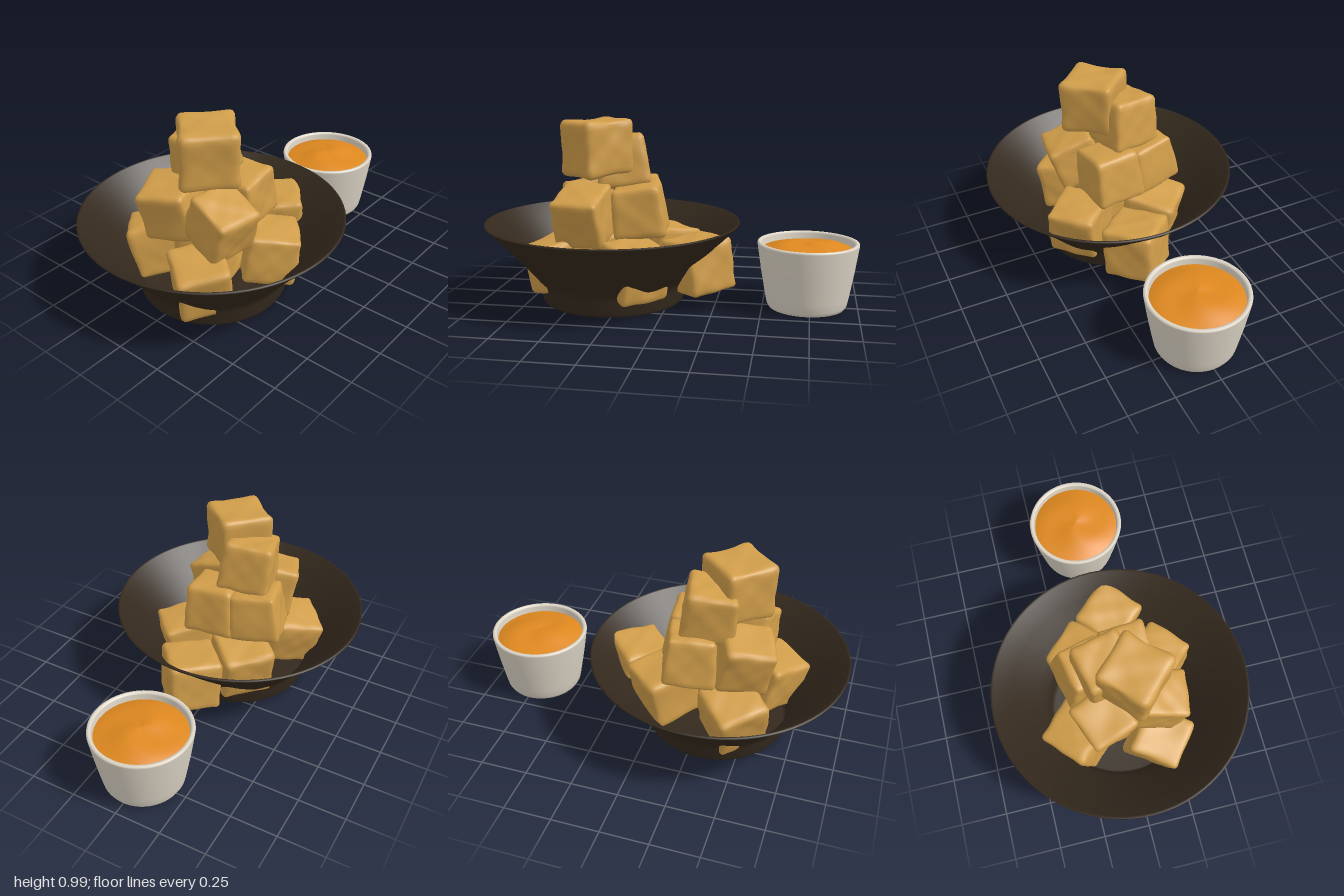
import * as THREE from 'three';
import { mergeVertices } from 'three/addons/utils/BufferGeometryUtils.js';

const mat = (name, color, side = THREE.FrontSide) => {
  const m = new THREE.MeshStandardMaterial({ color, side });
  m.name = name;
  return m;
};

// Soft, lumpy cube: rounded edges plus gentle wave displacement
function lumpyCube(size, seed, taper) {
  const n = 14, h = 0.5, r = 0.1;
  let g = new THREE.BoxGeometry(1, 1, 1, n, n, n);
  g.deleteAttribute('normal');
  g.deleteAttribute('uv');
  g = mergeVertices(g);
  const p = g.attributes.position;
  const v = new THREE.Vector3(), core = new THREE.Vector3(), d = new THREE.Vector3();
  for (let i = 0; i < p.count; i++) {
    v.fromBufferAttribute(p, i);
    core.copy(v).clampScalar(-h + r, h - r);
    d.copy(v).sub(core).normalize();
    const lump = 0.016 * Math.sin(6 * v.x + seed * 1.7) * Math.cos(6 * v.y + seed)
      + 0.012 * Math.sin(7 * v.z + seed * 2.3) * Math.cos(6 * v.x - seed)
      + 0.008 * Math.sin(13 * v.y + seed) * Math.sin(12 * v.x + seed) * Math.cos(13 * v.z);
    v.copy(core).addScaledVector(d, r + lump);
    // slight taper and shear, different on each cube
    const t = 1 - taper * v.y;
    v.set(v.x * t + 0.03 * v.y * Math.sin(seed), v.y, v.z * t + 0.03 * v.y * Math.cos(seed));
    p.setXYZ(i, v.x * size, v.y * size, v.z * size);
  }
  g.computeVertexNormals();
  return g;
}

const lathe = (points, material, name) => {
  const m = new THREE.Mesh(
    new THREE.LatheGeometry(points.map(([x, y]) => new THREE.Vector2(x, y)), 72), material);
  m.name = name;
  return m;
};

export function createModel() {
  const model = new THREE.Group();
  model.name = 'cubesWithDip';
  const bowlMat = mat('darkBowl', 0x34291d, THREE.DoubleSide);
  const cubeMat = mat('goldenCrust', 0xd09d4a);
  const cupMat = mat('paleCeramic', 0xddd5c6, THREE.DoubleSide);
  const sauceMat = mat('orangeSauce', 0xde881f, THREE.DoubleSide);

  // Flared bowl on a short straight foot
  const bowl = lathe([
    [0, 0], [0.36, 0], [0.377, 0.006], [0.386, 0.022], [0.395, 0.09], [0.402, 0.118],
    [0.425, 0.148], [0.467, 0.198], [0.524, 0.262], [0.595, 0.34], [0.685, 0.428],
    [0.684, 0.436], [0.672, 0.436], [0.587, 0.348], [0.512, 0.266], [0.455, 0.202],
    [0.412, 0.152], [0.392, 0.12], [0.382, 0.05], [0.365, 0.025], [0, 0.025],
  ], bowlMat, 'bowl');
  bowl.position.x = -0.315;
  model.add(bowl);

  // Piled cubes: name, x, y, z, size, yaw, tilt about x, tilt about z, taper
  const pile = new THREE.Group();
  pile.name = 'cubePile';
  [
    ['topCube', -0.385, 0.835, 0.046, 0.288, 0.8, 0.02, 0.05, 0.02],
    ['upperCube', -0.275, 0.75, -0.075, 0.27, 0.22, -0.05, 0.15, 0.14],
    ['middleLeftBackCube', -0.47, 0.51, -0.12, 0.268, 0.35, -0.08, 0.22, 0.05],
    ['middleLeftFrontCube', -0.43, 0.49, 0.163, 0.265, -0.15, 0.36, 0.05, 0.03],
    ['middleRightFrontCube', -0.155, 0.51, 0.065, 0.265, 0.12, 0.03, 0.1, 0.14],
    ['middleRightBackCube', -0.2, 0.51, -0.16, 0.265, 0.25, 0.1, 0.06, 0.16],
    ['lowerBackLeftCube', -0.455, 0.235, -0.245, 0.28, 0.72, -0.27, 0.06, 0],
    ['lowerBackRightCube', -0.055, 0.25, -0.145, 0.28, -0.75, -0.12, -0.12, 0.03],
    ['lowerRightCube', 0.16, 0.225, 0.052, 0.28, 0.74, 0, 0.1, 0],
    ['lowerLeftCube', -0.575, 0.225, 0.15, 0.272, 0.95, 0.08, 0.24, 0],
    ['lowerFrontCube', -0.15, 0.225, 0.248, 0.275, 0.75, 0.12, -0.08, 0],
    ['lowerCentreCube', -0.36, 0.24, 0.02, 0.28, 0.3, 0, 0, 0],
  ].forEach(([name, x, y, z, size, yaw, rx, rz, taper], i) => {
    const m = new THREE.Mesh(lumpyCube(size, i * 1.3 + 0.5, taper), cubeMat);
    m.name = name;
    m.position.set(x, y, z);
    m.rotation.set(rx, yaw, rz, 'XZY');
    pile.add(m);
  });
  model.add(pile);

  // Dip cup
  const dip = new THREE.Group();
  dip.name = 'dipCup';
  dip.position.x = 0.733;
  dip.add(lathe([
    [0, 0], [0.18, 0], [0.2, 0.006], [0.211, 0.025], [0.22, 0.07], [0.243, 0.2],
    [0.265, 0.345], [0.263, 0.354], [0.254, 0.357], [0.244, 0.354], [0.24, 0.345],
    [0.23, 0.25], [0.205, 0.05], [0, 0.04],
  ], cupMat, 'cup'));

  // Gently swirled sauce surface
  const sauce = lathe(Array.from({ length: 13 }, (_, i) => [0.238 * (1 - i / 12), 0]), sauceMat, 'sauce');
  const p = sauce.geometry.attributes.position;
  for (let i = 0; i < p.count; i++) {
    const x = p.getX(i), z = p.getZ(i), r = Math.hypot(x, z), k = r / 0.238;
    const swirl = Math.sin(2 * Math.atan2(z, x) + 14 * r) * k * (1 - k);
    p.setY(i, 0.315 + 0.042 * (1 - k * k) + 0.03 * swirl);
  }
  sauce.geometry.computeVertexNormals();
  dip.add(sauce);
  model.add(dip);
  return model;
}
